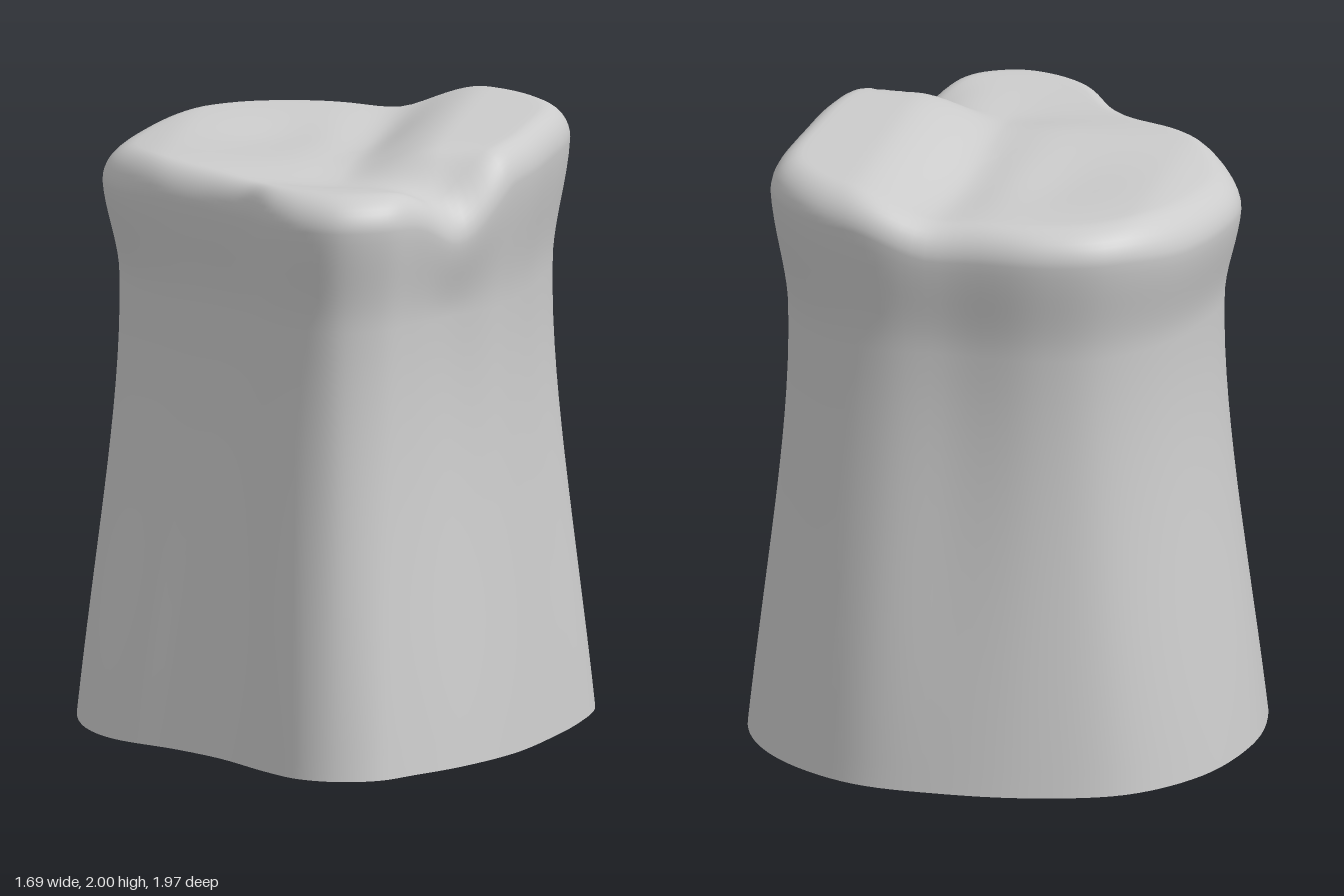
import * as THREE from 'three';

const SEGMENTS = 138;

// Matching outlines as x, z pairs, from the back round by +x
const BASE = [
  0.07, -0.985, 0.35, -0.95, 0.6, -0.8, 0.76, -0.6, 0.835, -0.36, 0.82, -0.1, 0.77, 0.15, 0.69, 0.42,
  0.55, 0.67, 0.42, 0.83, 0.32, 0.94, 0.18, 0.98, 0.05, 0.95, -0.07, 0.85, -0.25, 0.66, -0.42, 0.53,
  -0.65, 0.39, -0.77, 0.22, -0.84, -0.05, -0.84, -0.3, -0.75, -0.62, -0.55, -0.86, -0.25, -0.965];
const CROWN = [
  0.04, -0.86, 0.3, -0.86, 0.51, -0.79, 0.65, -0.66, 0.73, -0.5, 0.725, -0.1, 0.7, 0.15, 0.65, 0.33,
  0.52, 0.5, 0.42, 0.67, 0.33, 0.79, 0.18, 0.855, 0.04, 0.825, -0.08, 0.74, -0.2, 0.57, -0.32, 0.46,
  -0.52, 0.33, -0.66, 0.17, -0.755, -0.05, -0.75, -0.28, -0.65, -0.6, -0.47, -0.8, -0.25, -0.87];

function outline(flat) {
  const pts = [];
  for (let i = 0; i < flat.length; i += 2) pts.push(new THREE.Vector3(flat[i], 0, flat[i + 1]));
  const curve = new THREE.CatmullRomCurve3(pts, true, 'centripetal');
  return Array.from({ length: SEGMENTS }, (_, i) => curve.getPoint(i / SEGMENTS));
}

const smooth = THREE.MathUtils.smoothstep;
const bump = (x, z, cx, cz, rx, rz) => Math.exp(-(((x - cx) / rx) ** 2) - ((z - cz) / rz) ** 2);

// Height of the uneven top: raised ridge at +x, central groove, front notch
function topHeight(x, z) {
  let y = 1.925;
  y += 0.075 * smooth(x, 0.1, 0.42) * (1 - smooth(z, 0.27, 0.46));
  y -= 0.03 * bump(x, z, 0.1, -0.3, 0.12, 0.5);
  y -= 0.025 * bump(x, z, -0.18, -0.3, 0.22, 0.3);
  y -= 0.035 * bump(x, z, 0.1, 0.42, 0.4, 0.16);
  y -= 0.085 * bump(x, z, 0.52, 0.5, 0.16, 0.14);
  y -= 0.03 * smooth(-x, 0.5, 0.75);
  return y;
}

function bodyGeometry() {
  const base = outline(BASE);
  const crown = outline(CROWN);
  const waist = crown.map((p) => new THREE.Vector3(p.x * 0.925, 0, p.z * 0.955));
  const centre = new THREE.Vector3(0.06, 0, -0.05);
  const rings = [];

  // Flared wall from the open foot up to the waist
  for (let k = 0; k <= 16; k++) {
    const s = k / 16;
    const t = 1.13 * s + 0.42 * s * s - 0.55 * s ** 4;
    rings.push(base.map((p, i) => p.clone().lerp(waist[i], t).setY(1.47 * s)));
  }
  // Swelling lip under the top
  for (let k = 1; k <= 9; k++) {
    const s = k / 9;
    rings.push(waist.map((p, i) => {
      const q = p.clone().lerp(crown[i], smooth(s, 0, 1) * 0.6 + 0.4 * s * s * (2 - s));
      return q.setY(1.47 + s * (topHeight(crown[i].x, crown[i].z) - 0.115 - 1.47));
    }));
  }
  // Rounded shoulder
  const inset = 0.14;
  for (let k = 1; k <= 9; k++) {
    const a = (k / 9) * Math.PI / 2;
    rings.push(crown.map((p) => {
      const q = p.clone().lerp(centre, inset * (1 - Math.cos(a)));
      return q.setY(topHeight(q.x, q.z) - 0.115 * (1 - Math.sin(a)));
    }));
  }
  // Uneven top surface
  for (let k = 1; k <= 22; k++) {
    rings.push(crown.map((p) => {
      const q = p.clone().lerp(centre, inset + (0.995 - inset) * k / 22);
      return q.setY(topHeight(q.x, q.z));
    }));
  }

  const position = rings.flat().flatMap((p) => [p.x, p.y, p.z]);
  const index = [];
  for (let j = 0; j < rings.length - 1; j++) {
    for (let i = 0; i < SEGMENTS; i++) {
      const a = j * SEGMENTS + i;
      const b = j * SEGMENTS + (i + 1) % SEGMENTS;
      index.push(a, a + SEGMENTS, b, b, a + SEGMENTS, b + SEGMENTS);
    }
  }
  // Close the centre of the top
  const tip = position.length / 3;
  position.push(centre.x, topHeight(centre.x, centre.z), centre.z);
  for (let i = 0; i < SEGMENTS; i++) {
    const start = tip - SEGMENTS;
    index.push(start + i, tip, start + (i + 1) % SEGMENTS);
  }

  const geometry = new THREE.BufferGeometry();
  geometry.setAttribute('position', new THREE.Float32BufferAttribute(position, 3));
  geometry.setIndex(index);
  geometry.computeVertexNormals();
  return geometry;
}

export function createModel() {
  const group = new THREE.Group();
  group.name = 'stump';
  const material = new THREE.MeshStandardMaterial({ color: 0xcccccc, side: THREE.DoubleSide });
  const body = new THREE.Mesh(bodyGeometry(), material);
  body.name = 'hollowBody';
  group.add(body);
  return group;
}
